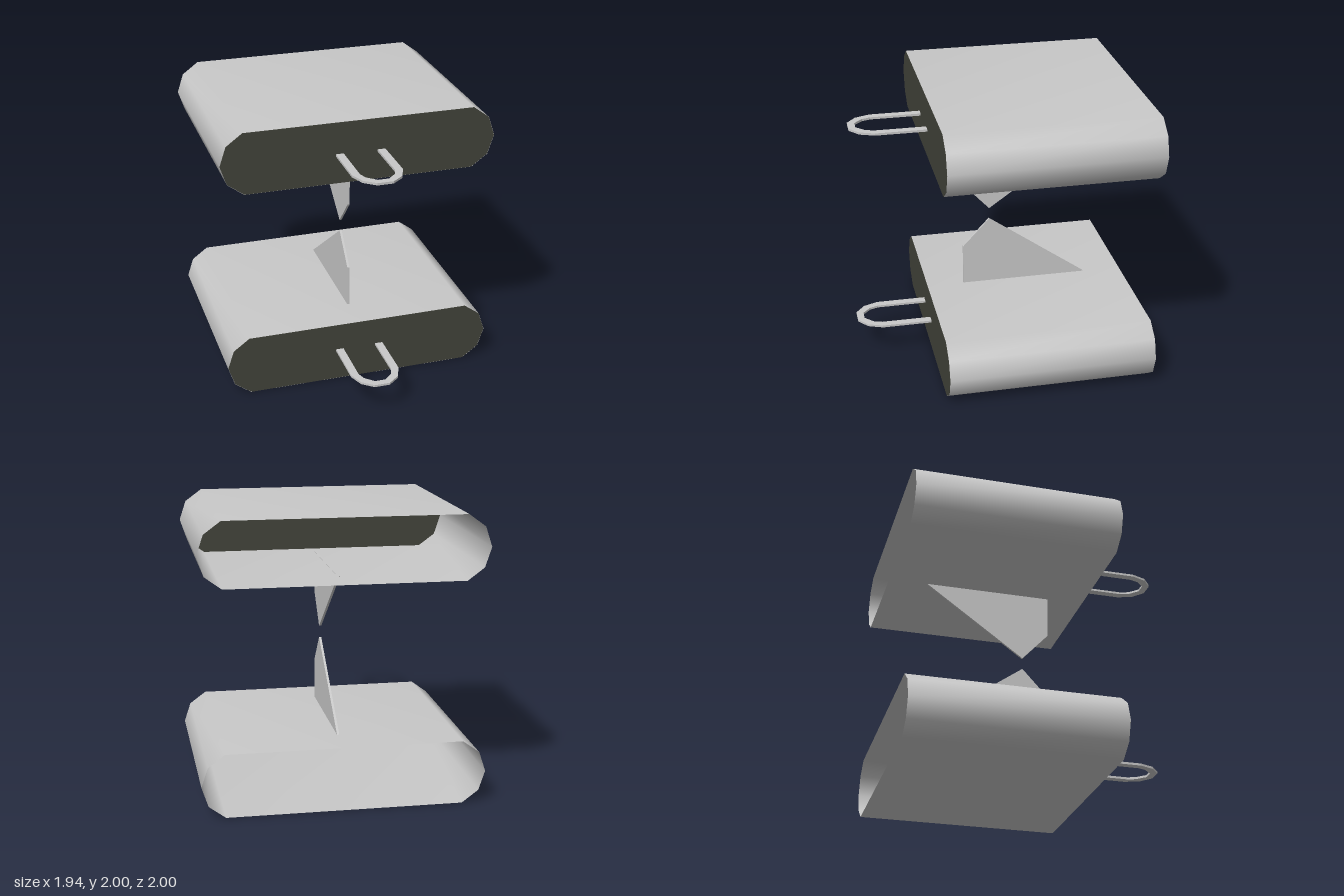
import * as THREE from 'three';

const BACK = -1, FRONT = 0.47, HALF = 0.221, MID = 0.9975;
const shell = new THREE.MeshStandardMaterial({ color: 0xc8c8c8, side: THREE.DoubleSide });
shell.name = 'light grey';
const dark = new THREE.MeshStandardMaterial({ color: 0x42433a });
dark.name = 'dark olive grey';

// right-hand end of the rounded outline, mirrored to close the loop
const rightEnd = [[0.81, -HALF], [0.925, -0.136], [0.97, 0], [0.925, 0.136], [0.81, HALF]];
const outline = [...rightEnd, ...rightEnd.map(([x, y]) => [-x, -y])];

const toShape = (pts) => new THREE.Shape(pts.map(([x, y]) => new THREE.Vector2(x, y)));
const plate = (pts, depth) => new THREE.ExtrudeGeometry(toShape(pts), { depth, bevelEnabled: false });

function named(name, geometry, material) {
  const mesh = new THREE.Mesh(geometry, material);
  mesh.name = name;
  return mesh;
}

// thin open-ended sleeve with smooth sides
function sleeveGeometry() {
  const pos = [], index = [], n = outline.length;
  outline.forEach(([x, y]) => pos.push(x, y, FRONT, x, y, BACK));
  for (let i = 0; i < n; i++) {
    const a = 2 * i, b = 2 * ((i + 1) % n);
    index.push(a, a + 1, b + 1, a, b + 1, b);
  }
  const g = new THREE.BufferGeometry();
  g.setAttribute('position', new THREE.Float32BufferAttribute(pos, 3));
  g.setIndex(index);
  g.computeVertexNormals();
  return g;
}

// dark plug filling the front of the sleeve
function plugGeometry() {
  const inset = outline.map(([x, y]) => [x * 0.998, y * 0.995]);
  return plate(inset, FRONT - 0.32 + 0.001).translate(0, 0, 0.32);
}

// flat U-shaped pull loop, drawn in x and z
function loopGeometry() {
  const outer = [[0.175, 0.4], [0.175, 0.83], [0.135, 0.935], [0.055, 1]];
  const inner = [[0.12, 0.4], [0.12, 0.83], [0.1, 0.89], [0.038, 0.95]];
  const flip = (pts) => pts.map(([x, z]) => [-x, z]).reverse();
  const pts = [...outer, ...flip(outer), ...flip(inner).reverse(), ...inner.slice().reverse()];
  return plate(pts, 0.016).rotateX(Math.PI / 2).translate(0, 0.008, 0);
}

// pointed fin standing on the inner face; dir is +1 up or -1 down
function finGeometry(dir) {
  const pts = [[-0.2, HALF - 0.002], [-0.2, 0.524], [-0.005, 0.734], [0.72, HALF - 0.002]];
  return plate(pts.map(([x, y]) => [x, y * dir]), 0.016).rotateY(Math.PI / 2).translate(-0.008, 0, 0);
}

function createUnit(name, dir) {
  const unit = new THREE.Group();
  unit.name = name;
  const loop = named('pullLoop', loopGeometry(), shell);
  loop.position.y = 0.014 * dir;
  unit.add(
    named('sleeve', sleeveGeometry(), shell),
    named('frontPlug', plugGeometry(), dark),
    named('fin', finGeometry(dir), shell),
    loop
  );
  unit.position.y = MID - dir * (MID - HALF);
  return unit;
}

export function createModel() {
  const model = new THREE.Group();
  model.name = 'pairedSleeves';
  model.add(createUnit('lowerUnit', 1), createUnit('upperUnit', -1));
  return model;
}
